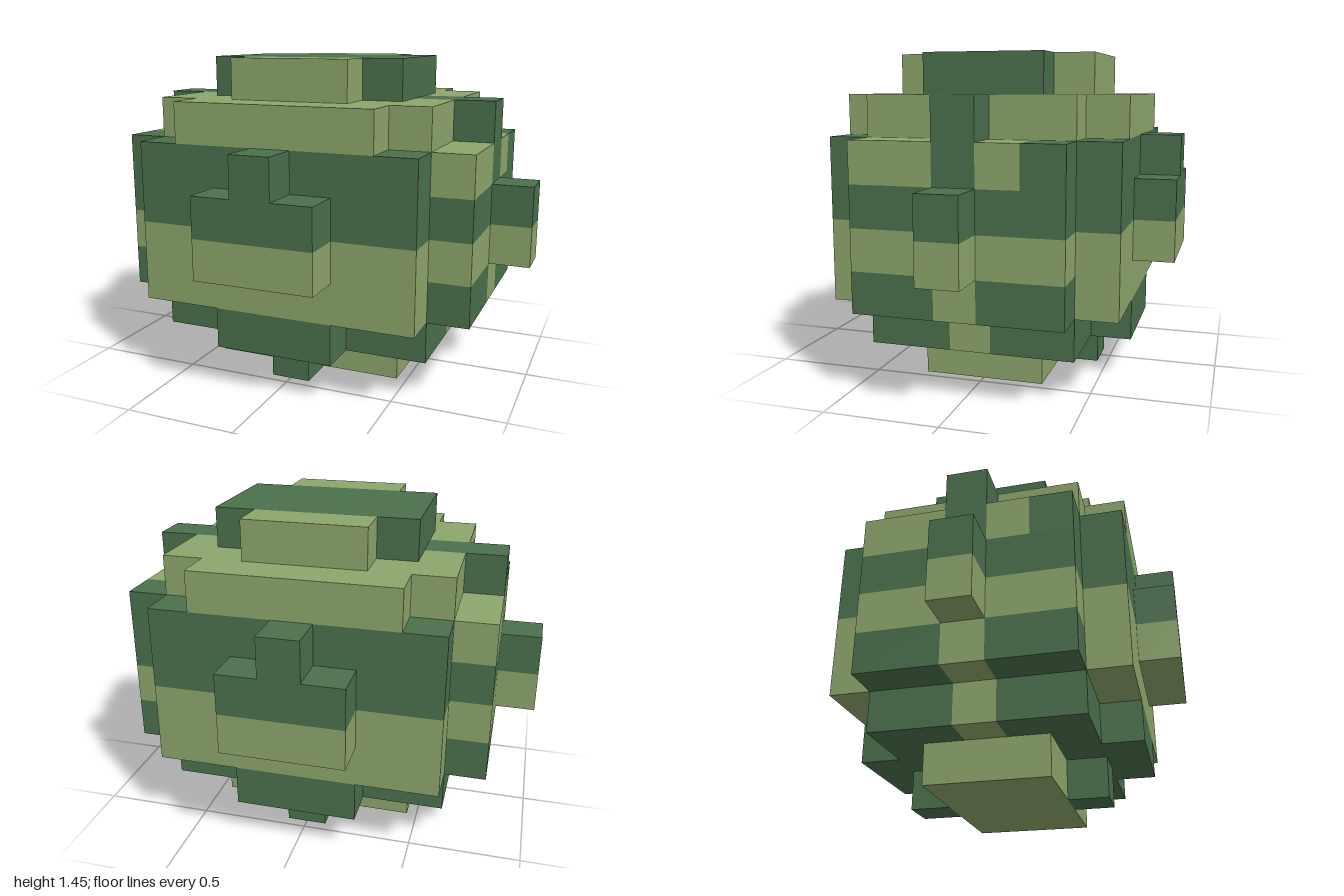
import * as THREE from 'three';

const U = 2 / 11; // edge of one cube

export function createModel() {
  const model = new THREE.Group();
  model.name = 'stripedBlockBall';

  const dark = new THREE.MeshStandardMaterial({ color: 0x4a704c });
  dark.name = 'darkGreen';
  const light = new THREE.MeshStandardMaterial({ color: 0x8ca56b });
  light.name = 'lightGreen';

  // One block spanning inclusive cube indices on x, y and z
  function block(name, material, [x0, x1], [y0, y1], [z0, z1]) {
    const size = [x1 - x0 + 1, y1 - y0 + 1, z1 - z0 + 1].map((n) => n * U);
    const mesh = new THREE.Mesh(new THREE.BoxGeometry(...size), material);
    mesh.position.set(((x0 + x1) / 2) * U, ((y0 + y1 + 1) / 2) * U, ((z0 + z1) / 2) * U);
    mesh.name = name;
    model.add(mesh);
  }

  // A block and its copy turned half way round the vertical axis
  function pair(name, material, x, y, z) {
    block(name + 'A', material, x, y, z);
    block(name + 'B', material, [-x[1], -x[0]], y, [-z[1], -z[0]]);
  }

  // Base
  block('base', light, [-2, 2], [0, 0], [-1, 1]);
  pair('baseStud', dark, [0, 0], [0, 0], [2, 2]);

  // Lower ring
  block('lowerRing', dark, [-2, 2], [1, 1], [-2, 2]);
  pair('lowerRingFace', dark, [-1, 1], [1, 1], [3, 3]);
  pair('lowerRingStripe', light, [3, 3], [1, 1], [0, 0]);
  pair('lowerRingFrontSide', dark, [3, 3], [1, 1], [1, 2]);
  pair('lowerRingBackSide', dark, [3, 3], [1, 1], [-2, -1]);

  // Body, two cubes high in each colour
  block('lowerBody', light, [-3, 3], [2, 3], [-3, 3]);
  block('upperBody', dark, [-3, 3], [4, 5], [-3, 3]);

  // Side panels
  pair('sideLowerStripe', light, [4, 4], [2, 2], [0, 0]);
  pair('sideLowerFrontPatch', dark, [4, 4], [2, 2], [1, 2]);
  pair('sideLowerBackPatch', dark, [4, 4], [2, 2], [-2, -1]);
  pair('sideLightBand', light, [4, 4], [3, 3], [-2, 2]);
  pair('sideDarkBand', dark, [4, 4], [4, 4], [-2, 2]);
  pair('sideUpperFrontPatch', light, [4, 4], [5, 5], [1, 2]);
  pair('sideUpperStripe', dark, [4, 4], [5, 6], [0, 0]);
  pair('sideUpperBackPatch', light, [4, 4], [5, 5], [-1, -1]);
  pair('sideUpperCorner', dark, [4, 4], [5, 5], [-2, -2]);

  // Knobs on the sides, and bumps on the front and back
  pair('sideKnobLower', light, [5, 5], [3, 3], [0, 0]);
  pair('sideKnobUpper', dark, [5, 5], [4, 4], [0, 0]);
  pair('bumpLower', light, [-1, 1], [3, 3], [4, 4]);
  pair('bumpUpper', dark, [-1, 1], [4, 4], [4, 4]);
  pair('bumpTip', dark, [0, 0], [5, 5], [4, 4]);

  // Upper ring
  block('upperRing', light, [-2, 2], [6, 6], [-3, 3]);
  pair('upperRingFrontSide', light, [3, 3], [6, 6], [1, 2]);
  pair('upperRingBackSide', light, [3, 3], [6, 6], [-2, -1]);
  pair('upperRingStripe', dark, [3, 3], [6, 6], [0, 0]);

  // Cap
  block('cap', dark, [-2, 2], [7, 7], [-1, 1]);
  pair('capEdge', light, [-1, 1], [7, 7], [2, 2]);

  return model;
}
